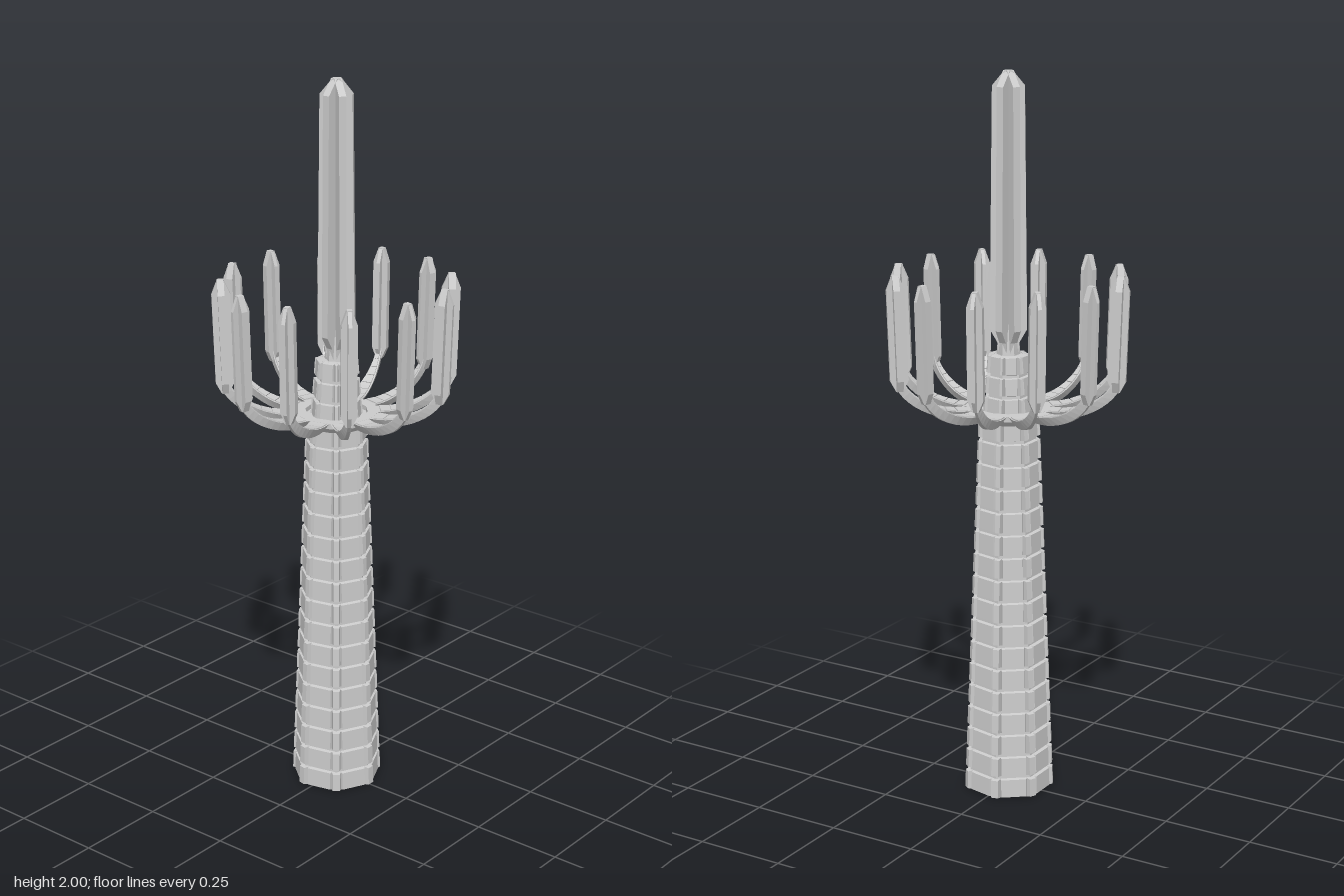
import * as THREE from 'three';

const mat = new THREE.MeshStandardMaterial({ color: 0xcccccc, flatShading: true });
const SIDES = 7, ARMS = 12;

function add(parent, name, geo) {
  const m = new THREE.Mesh(geo, mat);
  m.name = name;
  parent.add(m);
  return m;
}

// Box whose outer (+z) face is inset to form a bevel
function plate(w, h, d, bevel) {
  const g = new THREE.BoxGeometry(w, h, d);
  const p = g.attributes.position;
  for (let i = 0; i < p.count; i++) {
    if (p.getZ(i) > 0) {
      p.setX(i, p.getX(i) * (1 - 2 * bevel / w));
      p.setY(i, p.getY(i) * (1 - 2 * bevel / h));
    }
  }
  g.computeVertexNormals();
  return g;
}

// Upright blades crossing on one axis; profile holds [half width, y]
function crossedBlades(name, profile, thicknesses) {
  const group = new THREE.Group();
  group.name = name;
  const left = profile.map(([r, y]) => new THREE.Vector2(-r, y)).reverse();
  thicknesses.forEach(([t, scale], i) => {
    const pts = [...profile.map(([r, y]) => new THREE.Vector2(r, y)), ...left];
    const shape = new THREE.Shape(pts);
    const geo = new THREE.ExtrudeGeometry(shape, { depth: t, bevelEnabled: false });
    geo.translate(0, 0, -t / 2).scale(scale, 1, 1);
    add(group, name + 'Blade', geo).rotation.y = Math.PI / 2 + i * Math.PI / thicknesses.length;
  });
  return group;
}

// Arm centre line in (y, z = distance from the axis)
const armCurve = new THREE.CatmullRomCurve3([
  [1.095, 0.095], [1.095, 0.15], [1.108, 0.205], [1.135, 0.255], [1.17, 0.288], [1.21, 0.3],
].map(([y, z]) => new THREE.Vector3(0, y, z)));

// Tapered trapezoid swept along the arm between t0 and t1
function armSweep(t0, t1, steps, inset, top, bottom, keel) {
  const pos = [], idx = [];
  for (let i = 0; i <= steps; i++) {
    const t = t0 + (t1 - t0) * i / steps;
    const c = armCurve.getPoint(t), d = armCurve.getTangent(t);
    const up = new THREE.Vector3(0, d.z, -d.y);
    const w = THREE.MathUtils.lerp(0.029, 0.008, Math.min(1, (c.z - 0.095) / 0.2)) - inset;
    for (const [x, n] of [[-w, top], [w, top], [w * keel, bottom], [-w * keel, bottom]]) {
      const v = c.clone().addScaledVector(up, n);
      pos.push(x, v.y, v.z);
    }
  }
  for (let i = 0; i < steps; i++) {
    for (let k = 0; k < 4; k++) {
      const a = i * 4 + k, b = i * 4 + (k + 1) % 4;
      idx.push(a, a + 4, b, b, a + 4, b + 4);
    }
  }
  const e = steps * 4;
  idx.push(0, 1, 2, 0, 2, 3, e, e + 2, e + 1, e, e + 3, e + 2);
  const g = new THREE.BufferGeometry();
  g.setAttribute('position', new THREE.Float32BufferAttribute(pos, 3));
  g.setIndex(idx);
  g.computeVertexNormals();
  return g;
}

// Tower section with rows of bevelled tiles and corner blocks
function towerSection(name, y0, y1, r0, r1, tiers) {
  const group = new THREE.Group();
  group.name = name;
  const H = y1 - y0, tilt = -Math.atan((r0 - r1) / H);
  const core = new THREE.CylinderGeometry(r1 - 0.011, r0 - 0.011, H - 0.008, SIDES, 1, false, Math.PI / 2);
  add(group, name + 'Core', core).position.y = (y0 + y1) / 2;
  const step = H / tiers;
  for (let i = 0; i < tiers; i++) {
    const y = y0 + (i + 0.5) * step;
    const r = THREE.MathUtils.lerp(r0, r1, (i + 0.5) / tiers);
    const side = 2 * r * Math.sin(Math.PI / SIDES);
    const tile = plate(side * 0.72, step * 0.92, 0.016, 0.004);
    const block = plate(side * 0.26, step * 0.92, 0.022, 0.004);
    for (let k = 0; k < SIDES; k++) {
      const a = Math.PI / 2 + k * 2 * Math.PI / SIDES;
      for (const [part, geo, ang, dist] of [
        ['wallTile', tile, a + Math.PI / SIDES, r * Math.cos(Math.PI / SIDES) - 0.008],
        ['cornerBlock', block, a, r - 0.011],
      ]) {
        const m = add(group, part, geo);
        m.rotation.order = 'YXZ';
        m.rotation.set(tilt, ang, 0);
        m.position.set(Math.sin(ang) * dist, y, Math.cos(ang) * dist);
      }
    }
  }
  return group;
}

export function createModel() {
  const model = new THREE.Group();
  model.name = 'tower';

  model.add(towerSection('shaft', 0, 1.08, 0.126, 0.084, 17));
  model.add(towerSection('crown', 1.08, 1.25, 0.072, 0.058, 3));

  // Twelve-sided collar carrying the arms
  const collar = [[0.085, 1.07], [0.1, 1.07], [0.113, 1.085], [0.113, 1.1], [0.085, 1.1], [0.085, 1.07]];
  add(model, 'collar', new THREE.LatheGeometry(collar.map(([x, y]) => new THREE.Vector2(x, y)), ARMS));
  const floor = add(model, 'collarFloor', new THREE.CylinderGeometry(0.09, 0.082, 0.015, ARMS));
  floor.position.y = 1.08;

  // Curved arms with raised panels, each ending in a four-bladed finial
  const beam = armSweep(0, 1, 14, 0, 0.005, -0.018, 0.4);
  const panels = [];
  for (let i = 0; i < 8; i++) {
    panels.push(armSweep(0.08 + i * 0.11, 0.18 + i * 0.11, 2, 0.004, 0.008, 0, 1));
  }
  for (let i = 0; i < ARMS; i++) {
    const arm = new THREE.Group();
    arm.name = 'arm';
    arm.rotation.y = (i + 0.5) * 2 * Math.PI / ARMS;
    add(arm, 'armBeam', beam);
    panels.forEach((g) => add(arm, 'armPanel', g));
    const finial = crossedBlades('finial',
      [[0.01, 0], [0.025, 0.03], [0.025, 0.275], [0.008, 0.315]], [[0.01, 1], [0.018, 0.85]]);
    finial.position.set(0, 1.16, 0.298);
    finial.rotation.x = 0.03;
    arm.add(finial);
    model.add(arm);
  }

  // Neck and six-bladed spire
  const neck = add(model, 'neck', new THREE.CylinderGeometry(0.024, 0.034, 0.1, 6));
  neck.position.y = 1.28;
  model.add(crossedBlades('spire',
    [[0.026, 1.25], [0.03, 1.28], [0.05, 1.315], [0.043, 1.96], [0.01, 2]],
    [[0.02, 1], [0.02, 1], [0.02, 1]]));

  return model;
}
